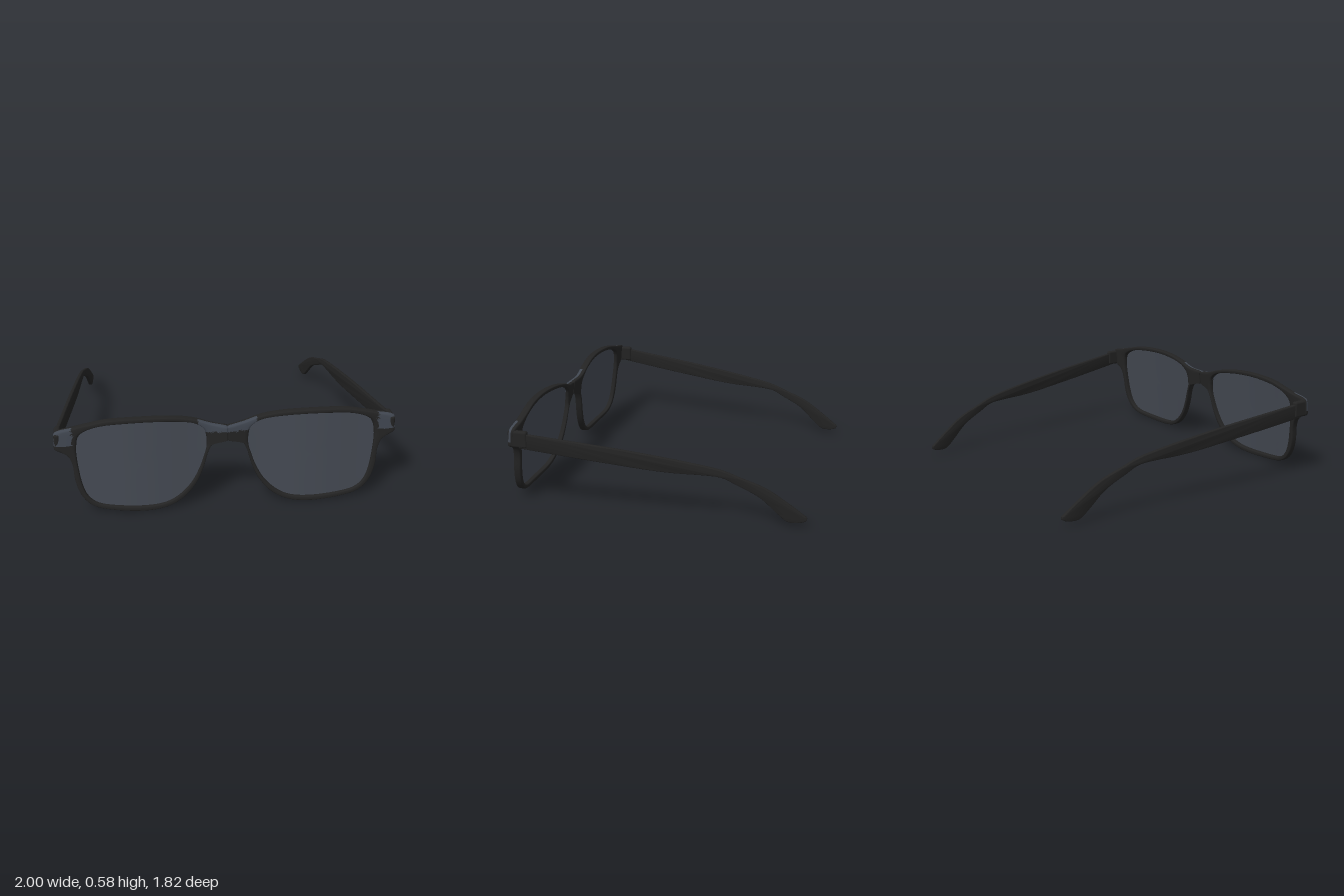
import * as THREE from 'three';
import { toCreasedNormals } from 'three/addons/utils/BufferGeometryUtils.js';
import { RoundedBoxGeometry } from 'three/addons/geometries/RoundedBoxGeometry.js';

// Half of the front frame: outer x, y, then matching lens-opening x, y
const RIM = [
  [0, .455, .122, .41], [0, .495, .125, .44], [.1, .515, .14, .485],
  [.2, .548, .2, .525], [.33, .572, .33, .547], [.5, .58, .5, .555],
  [.68, .572, .68, .545], [.8, .548, .78, .525], [.9, .525, .84, .495],
  [.975, .51, .86, .47], [1, .485, .868, .445], [1, .41, .873, .41],
  [.975, .39, .875, .385], [.925, .36, .873, .34], [.9, .3, .867, .28],
  [.89, .2, .853, .19], [.86, .11, .825, .11], [.8, .045, .77, .06],
  [.7, .015, .68, .04], [.5, 0, .5, .03], [.36, .015, .375, .04],
  [.26, .065, .29, .078], [.185, .15, .215, .15], [.14, .25, .165, .24],
  [.11, .35, .135, .325], [.07, .405, .125, .36], [0, .415, .122, .385],
];
const STEPS = RIM.length * 8;
const SIDES = 20;

// Closed outline through the rim points, sampled so inner and outer match
function outline(k) {
  const pts = RIM.map(p => new THREE.Vector3(p[k], p[k + 1], 0));
  const curve = new THREE.CatmullRomCurve3(pts, true, 'catmullrom', 0.5);
  return Array.from({ length: STEPS }, (_, i) => {
    const p = curve.getPoint(i / STEPS);
    p.x = THREE.MathUtils.clamp(p.x, 0, 1);
    p.y = Math.max(p.y, 0);
    return p;
  });
}

// Tilted front surface that bulges at each lens
const surfaceZ = (x, y) => 0.82 + 0.1 * (0.55 - y)
  + 0.015 * Math.cos(Math.PI * (x - 0.5) / 0.45) + 0.02 * Math.exp(-((x / 0.08) ** 2));

function buildGeometry(positions, index) {
  const g = new THREE.BufferGeometry();
  g.setAttribute('position', new THREE.Float32BufferAttribute(positions, 3));
  g.setIndex(index);
  g.computeVertexNormals();
  return g;
}

// Rounded section swept between the lens opening and the outer edge
function rimGeometry(inner, outer) {
  const pos = [], base = [], accent = [];
  const soft = v => Math.sign(v) * Math.sqrt(Math.abs(v));
  for (let i = 0; i < STEPS; i++) {
    const square = THREE.MathUtils.clamp(1 - outer[i].x / 0.03, 0, 1);
    for (let j = 0; j < SIDES; j++) {
      const a = j / SIDES * Math.PI * 2;
      const c = Math.cos(a), s = Math.abs(Math.sin(a)) < 1e-6 ? 0 : Math.sin(a);
      const p = inner[i].clone().lerp(outer[i], 0.5 + 0.5 * soft(c));
      let w = soft(s);
      if (c > 0) w = THREE.MathUtils.lerp(w, Math.sign(s), square);
      pos.push(p.x, p.y, surfaceZ(p.x, p.y) + w * 0.023);
    }
  }
  const addTriangle = (...t) => {
    const mean = k => t.reduce((sum, v) => sum + pos[v * 3 + k], 0) / 3;
    if (t.every(v => pos[v * 3] < 0.0005)) return; // open where the halves meet
    const x = mean(0), y = mean(1), front = mean(2) > surfaceZ(x, y) + 0.002;
    const patch = (x < 0.17 && y > 0.465) || (x > 0.895 && y > 0.425);
    (front && patch ? accent : base).push(...t);
  };
  for (let i = 0; i < STEPS; i++) {
    for (let j = 0; j < SIDES; j++) {
      const n = (i + 1) % STEPS, m = (j + 1) % SIDES;
      const a = i * SIDES + j, b = i * SIDES + m, c = n * SIDES + j, d = n * SIDES + m;
      addTriangle(a, b, c);
      addTriangle(b, d, c);
    }
  }
  const g = buildGeometry(pos, [...base, ...accent]);
  g.addGroup(0, base.length, 0);
  g.addGroup(base.length, accent.length, 1);
  return g;
}

// Curved lens as concentric rings filling the opening
function lensGeometry(inner) {
  const rings = 8, pos = [], index = [];
  const center = new THREE.Vector3(0.5, 0.3, 0);
  for (let r = 0; r <= rings; r++) {
    for (let i = 0; i < STEPS; i++) {
      const p = center.clone().lerp(inner[i], r / rings);
      pos.push(p.x, p.y, surfaceZ(p.x, p.y) + 0.006);
      if (r === rings) continue;
      const n = (i + 1) % STEPS;
      const a = r * STEPS + i, b = r * STEPS + n, c = a + STEPS, d = b + STEPS;
      if (r > 0) index.push(a, c, b);
      index.push(b, c, d);
    }
  }
  return buildGeometry(pos, index);
}

// Temple arm: side profile extruded thinly, then angled inwards
function templeGeometry() {
  const v = (z, y) => new THREE.Vector2(-z, y);
  const top = [v(.77, .485), v(.6, .465), v(.4, .443), v(.2, .42), v(0, .393),
    v(-.2, .363), v(-.4, .326), v(-.53, .28), v(-.67, .225), v(-.8, .14), v(-.91, .058)];
  const bottom = [v(-.905, .038), v(-.86, .024), v(-.8, .028), v(-.74, .075), v(-.635, .17),
    v(-.5, .24), v(-.42, .277), v(-.32, .287), v(-.15, .29), v(0, .3), v(.2, .322),
    v(.4, .345), v(.6, .37), v(.77, .392)];
  const shape = new THREE.Shape();
  shape.moveTo(top[0].x, top[0].y);
  shape.splineThru(top.slice(1));
  shape.splineThru(bottom);
  shape.closePath();
  const g = new THREE.ExtrudeGeometry(shape, {
    depth: 0.01, curveSegments: 36, bevelThickness: 0.006, bevelSize: 0.005,
    bevelOffset: -0.005, bevelSegments: 3,
  });
  g.translate(0, 0, -0.005);
  g.rotateY(Math.PI / 2);
  const p = g.attributes.position;
  for (let i = 0; i < p.count; i++) {
    p.setX(i, p.getX(i) + 0.803 + (p.getZ(i) + 0.915) * 0.109);
  }
  return toCreasedNormals(g, 0.7);
}

// Mirror across x = 0 and restore the corner order
function mirrored(source) {
  const g = source.index ? source.toNonIndexed() : source.clone();
  g.scale(-1, 1, 1);
  for (const attr of Object.values(g.attributes)) {
    const n = attr.itemSize, a = attr.array;
    for (let t = 0; t < attr.count; t += 3) {
      for (let k = 0; k < n; k++) {
        const q = (t + 1) * n + k;
        [a[q], a[q + n]] = [a[q + n], a[q]];
      }
    }
  }
  return g;
}

export function createModel() {
  const material = (name, color, extra = {}) =>
    Object.assign(new THREE.MeshStandardMaterial({ color, ...extra }), { name });
  const black = material('frame black', 0x232323);
  const slate = material('slate accent', 0x404650);
  const tint = material('tinted lens', 0x434851, { side: THREE.DoubleSide });

  const inner = outline(2), outer = outline(0);
  const hinge = new RoundedBoxGeometry(0.036, 0.104, 0.12, 4, 0.014);
  hinge.translate(0.98, 0.445, 0.778);

  const parts = [
    ['Rim', rimGeometry(inner, outer), [black, slate]],
    ['Lens', lensGeometry(inner), tint],
    ['Hinge', hinge, black],
    ['Temple', templeGeometry(), black],
  ];
  // Rounded box faces share a single material
  hinge.clearGroups();

  const model = new THREE.Group();
  model.name = 'glasses';
  for (const [name, geometry, mat] of parts) {
    for (const side of ['left', 'right']) {
      const mesh = new THREE.Mesh(side === 'left' ? geometry : mirrored(geometry), mat);
      mesh.name = side + name;
      if (side === 'right' && name === 'Rim') {
        mesh.geometry.clearGroups();
        geometry.groups.forEach(g => mesh.geometry.addGroup(g.start, g.count, g.materialIndex));
      }
      model.add(mesh);
    }
  }
  return model;
}
